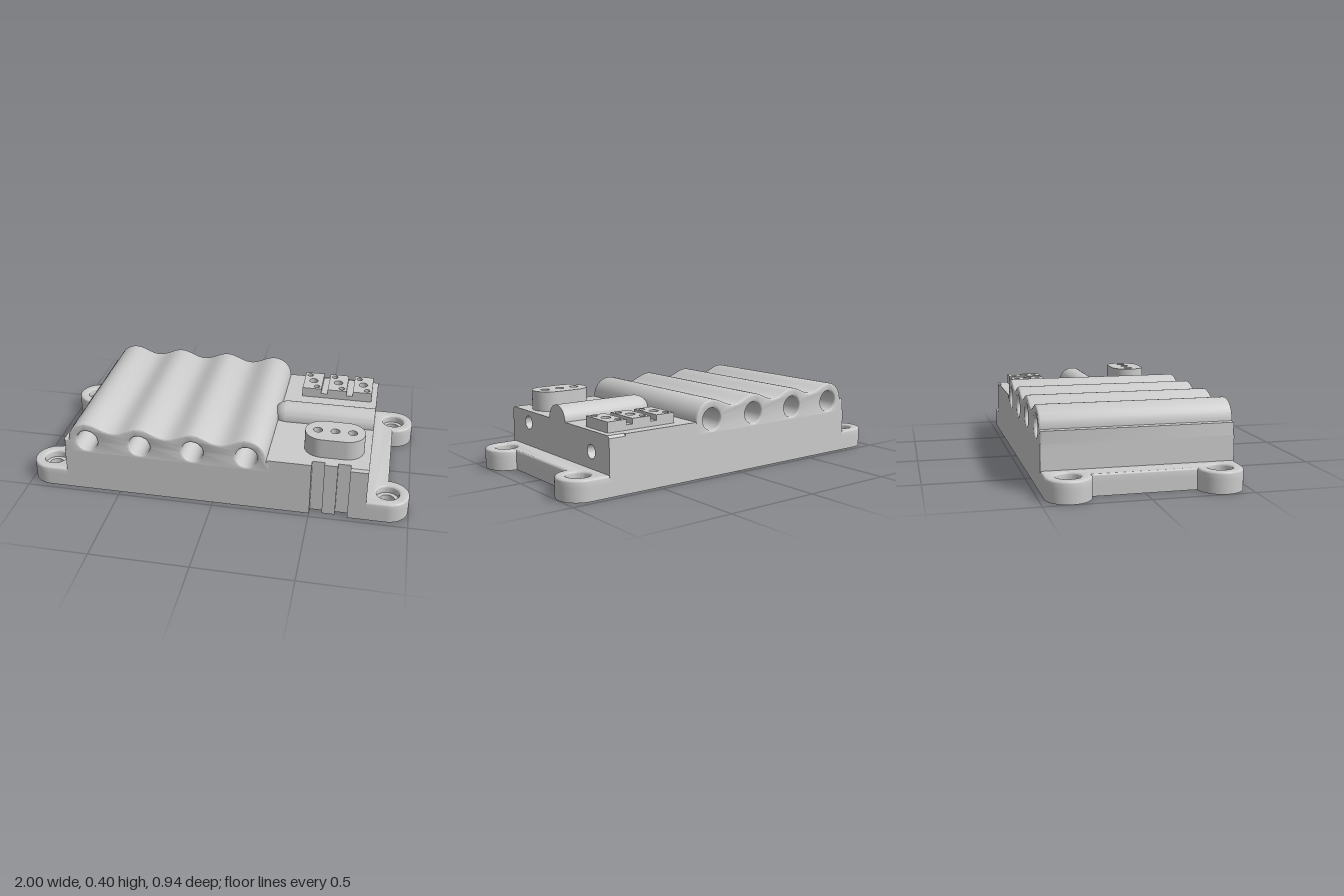
import * as THREE from 'three';
import { toCreasedNormals } from 'three/addons/utils/BufferGeometryUtils.js';

const HZ = 0.4725; // half depth of the housing
const HX = 0.785;  // half width of the housing
const mat = new THREE.MeshStandardMaterial({ color: 0xcccccc });
const openMat = new THREE.MeshStandardMaterial({ color: 0xcccccc, side: THREE.DoubleSide });

function mesh(name, geo, material = mat) {
  const m = new THREE.Mesh(toCreasedNormals(geo, 0.6), material);
  m.name = name;
  return m;
}

// Outline from points; each hole is [x, y, radius]
function outline(points, holes = []) {
  const s = new THREE.Shape(points.map(([x, y]) => new THREE.Vector2(x, y)));
  for (const [x, y, r] of holes) s.holes.push(new THREE.Path().absarc(x, y, r, 0, Math.PI * 2, true));
  return s;
}

function arc(cx, cy, r, a0, a1, n = 16) {
  return Array.from({ length: n + 1 }, (_, i) => {
    const a = a0 + (a1 - a0) * i / n;
    return [cx + r * Math.cos(a), cy + r * Math.sin(a)];
  });
}

function roundRect(x0, x1, y0, y1, r) {
  const H = Math.PI / 2;
  return [...arc(x1 - r, y1 - r, r, 0, H, 12), ...arc(x0 + r, y1 - r, r, H, 2 * H, 12),
    ...arc(x0 + r, y0 + r, r, 2 * H, 3 * H, 12), ...arc(x1 - r, y0 + r, r, 3 * H, 4 * H, 12)];
}

// Extrude a plan (x, -z) upward from y0 to y1; b rounds the top edge only
function rise(shape, y0, y1, b = 0) {
  const g = new THREE.ExtrudeGeometry(shape, {
    depth: y1 - y0 - b, curveSegments: 24, bevelEnabled: b > 0,
    bevelThickness: b, bevelSize: b, bevelOffset: -b, bevelSegments: 3,
  });
  g.rotateX(-Math.PI / 2).translate(0, y0, 0);
  const p = g.attributes.position;
  for (let i = 0; i < p.count; i++) p.setY(i, Math.max(p.getY(i), y0));
  return g;
}

const rect = (x0, x1, z0, z1) => [[x0, -z1], [x1, -z1], [x1, -z0], [x0, -z0]];

export function createModel() {
  const group = new THREE.Group();
  const add = (...args) => { const m = mesh(...args); group.add(m); return m; };

  // Lower housing, open underneath
  const frame = outline(rect(-HX, 0.275, -HZ, HZ));
  frame.holes.push(outline(roundRect(-0.745, 0.235, -0.32, 0.32, 0.03)));
  add('lowerHousing', rise(frame, 0, 0.2295));

  // Wavy block with four bores running front to back
  const bores = [-0.66, -0.382, -0.104, 0.174];
  const by = 0.295, pitch = 0.278, b = 0.01;
  const wave = [[-HX, 0.215], [0.3, 0.215], [0.3, 0.28], [0.274, 0.28],
    ...arc(bores[3], by, 0.1, 0, Math.PI / 2, 14)];
  for (let i = 1; i < 60; i++) {
    const t = i / 20;
    wave.push([bores[3] - t * pitch, 0.375 + 0.02 * Math.cos(t * Math.PI * 2)]);
  }
  wave.push(...arc(bores[0], by, 0.1, Math.PI / 2, Math.PI, 14), [-HX, 0.292]);
  const waveGeo = new THREE.ExtrudeGeometry(outline(wave, bores.map(x => [x, by, 0.056])), {
    depth: 2 * (HZ - b), curveSegments: 24, bevelThickness: b, bevelSize: b, bevelOffset: -b, bevelSegments: 3,
  });
  add('waveBlock', waveGeo.translate(0, 0, b - HZ));

  // Tapered bore walls
  for (const x of bores) {
    const pts = [[0.056, -0.4625], [0.045, -0.2], [0.045, 0.2], [0.056, 0.4625]];
    const g = new THREE.LatheGeometry(pts.map(p => new THREE.Vector2(...p)), 32);
    add('bore', g.rotateX(Math.PI / 2).translate(x, by, 0), openMat);
  }

  // Ceiling of the underside recess with pin holes
  add('recessCeiling', rise(outline(rect(-0.76, 0.25, -0.33, 0.33), bores.map(x => [x, -0.2, 0.011])), 0.205, 0.216));

  // Connector deck with a notched front and a rib in the notch
  add('deck', rise(outline([[0.275, HZ], [0.275, -HZ], [0.502, -HZ], [0.502, -0.433], [0.565, -0.433],
    [0.565, -0.458], [0.632, -0.458], [0.632, -0.433], [0.695, -0.433], [0.695, HZ]]), 0, 0.292));

  // End wall with two drilled holes
  const drills = [[-0.3, 0.23, 0.035], [0.315, 0.19, 0.035]];
  const wall = new THREE.ExtrudeGeometry(outline([[-HZ, 0], [HZ, 0], [HZ, 0.28], [HZ - 0.012, 0.292],
    [0.012 - HZ, 0.292], [-HZ, 0.28]], drills), { depth: HX - 0.695, bevelEnabled: false, curveSegments: 24 });
  add('endWall', wall.rotateY(Math.PI / 2).translate(0.695, 0, 0));
  for (const [u, y, r] of drills) {
    const pts = [[0, -0.08], [r, -0.06], [r, 0]].map(p => new THREE.Vector2(...p));
    add('drilledHole', new THREE.LatheGeometry(pts, 32).rotateZ(-Math.PI / 2).translate(HX, y, -u), openMat);
  }

  // Mounting flanges with counterbored ears at both ends
  const ez = 0.3625, ex = 0.888, er = 0.11;
  const flange = r => outline([[0.765, -HZ], ...arc(ex, -ez, er, -Math.PI / 2, Math.PI / 2, 24),
    ...arc(ex, ez, er, -Math.PI / 2, Math.PI / 2, 24), [0.765, HZ]], [[ex, -ez, r], [ex, ez, r]]);
  for (const turn of [0, Math.PI]) {
    add('flangeBase', rise(flange(0.037), 0, 0.065)).rotation.y = turn;
    add('flangeTop', rise(flange(0.058), 0.065, 0.105, 0.01)).rotation.y = turn;
  }

  // Round-nosed ridge across the deck
  const R = 0.077;
  const ridge = [...arc(0, 0.32, R, -Math.PI / 2, 0), [R, HX], [0, HX]];
  ridge[0][0] = 0;
  add('ridge', new THREE.LatheGeometry(ridge.map(p => new THREE.Vector2(...p)), 48)
    .rotateZ(-Math.PI / 2).translate(0, 0.292, 0));

  // Oval socket with three pin holes
  const pins = [0.51, 0.598, 0.686].map(x => [x, -0.295, 0.023]);
  add('ovalSocket', rise(outline(roundRect(0.446, 0.75, -0.39, -0.203, 0.093), pins), 0.285, 0.395));

  // Terminal strip: three blocks on a shared base
  add('terminalBase', rise(outline(rect(0.37, 0.755, -0.415, -0.225)), 0.285, 0.318));
  for (const x of [0.4225, 0.5625, 0.7025]) {
    const holes = [[x - 0.025, 0.385, 0.016], [x, 0.32, 0.024], [x + 0.025, 0.255, 0.016]];
    add('terminalBlock', rise(outline(rect(x - 0.0525, x + 0.0525, -0.415, -0.225), holes), 0.285, 0.345));
  }
  return group;
}
